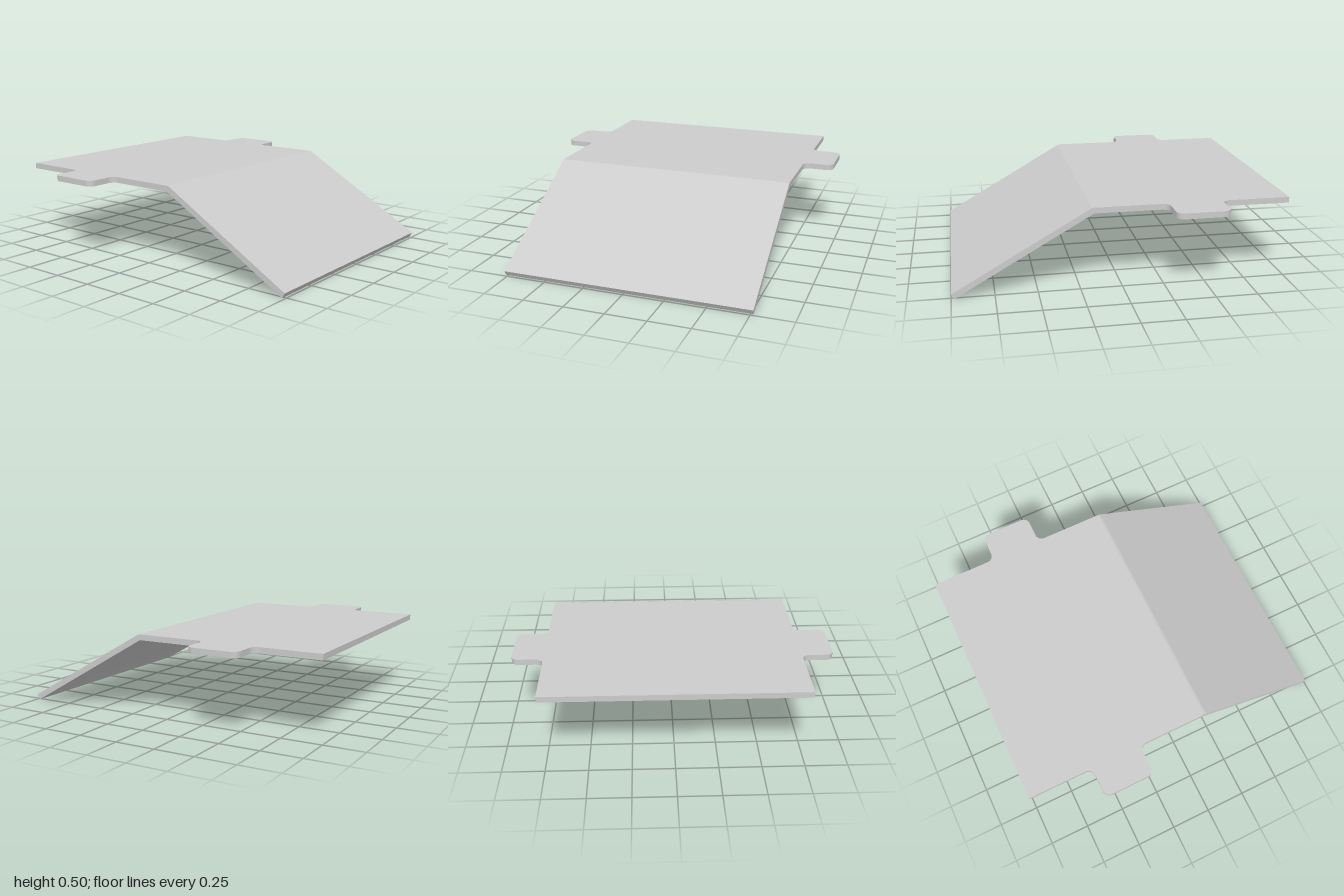
import * as THREE from 'three';
import { toCreasedNormals } from 'three/addons/utils/BufferGeometryUtils.js';

const W = 0.767;        // half width of the sheet
const TOP = 0.503;      // height of the flat top surface
const T = 0.035;        // sheet thickness
const SEAM = 0.1705;    // z where the bend starts
const BEND = Math.PI / 6;
const R = 0.04;         // outer bend radius

// Drop the hidden end faces where the flat sheet meets the bend.
function openAtSeam(geometry) {
  const p = geometry.attributes.position;
  const kept = [];
  for (let i = 0; i < p.count; i += 3) {
    const onSeam = [0, 1, 2].every((k) => Math.abs(p.getZ(i + k) - SEAM) < 1e-5);
    if (!onSeam) for (let k = 0; k < 3; k++) kept.push(p.getX(i + k), p.getY(i + k), p.getZ(i + k));
  }
  const out = new THREE.BufferGeometry();
  out.setAttribute('position', new THREE.Float32BufferAttribute(kept, 3));
  return toCreasedNormals(out, 0.4);
}

// Flat sheet with a rounded tab on each side, outlined in x and z.
function flatSheet() {
  const r = 0.045, tabX = 0.957, z0 = -0.587, z1 = -0.268, q = Math.PI / 2;
  const side = new THREE.Path();
  side.moveTo(W, -1);
  side.lineTo(W, z0 - r);
  side.absarc(W + r, z0 - r, r, Math.PI, q, true);
  side.absarc(tabX - r, z0 + r, r, -q, 0, false);
  side.absarc(tabX - r, z1 - r, r, 0, q, false);
  side.absarc(W + r, z1 + r, r, -q, -Math.PI, true);
  side.lineTo(W, SEAM);
  const right = side.getPoints(8);
  const left = right.map((v) => new THREE.Vector2(-v.x, v.y)).reverse();
  const g = new THREE.ExtrudeGeometry(new THREE.Shape([...right, ...left]), { depth: T, bevelEnabled: false });
  g.rotateX(Math.PI / 2);
  g.translate(0, TOP, 0);
  return openAtSeam(g);
}

// Bend and sloping sheet, as a z-y profile extruded across the width.
function slopingSheet() {
  const cy = TOP - R, r = R - T, a = Math.PI / 2 - BEND;
  const c = Math.cos(a), s = Math.sin(a);
  const dy = cy + r * s;              // drop that reaches the ground
  const dz = dy / Math.tan(BEND);
  const profile = new THREE.Shape();
  profile.moveTo(SEAM, TOP);
  profile.absarc(SEAM, cy, R, Math.PI / 2, a, true);
  profile.lineTo(SEAM + R * c + dz, cy + R * s - dy);
  profile.lineTo(SEAM + r * c + dz, cy + r * s - dy);
  profile.absarc(SEAM, cy, r, a, Math.PI / 2, false);
  const g = new THREE.ExtrudeGeometry(profile, { depth: 2 * W, bevelEnabled: false, curveSegments: 16 });
  g.rotateY(-Math.PI / 2);
  g.translate(W, 0, 0);
  return openAtSeam(g);
}

export function createModel() {
  const group = new THREE.Group();
  group.name = 'bentPlate';
  const material = new THREE.MeshStandardMaterial({ color: 0xcccccc });
  const parts = { flatSheetWithTabs: flatSheet(), slopingSheet: slopingSheet() };
  for (const [name, geometry] of Object.entries(parts)) {
    const mesh = new THREE.Mesh(geometry, material);
    mesh.name = name;
    group.add(mesh);
  }
  return group;
}
